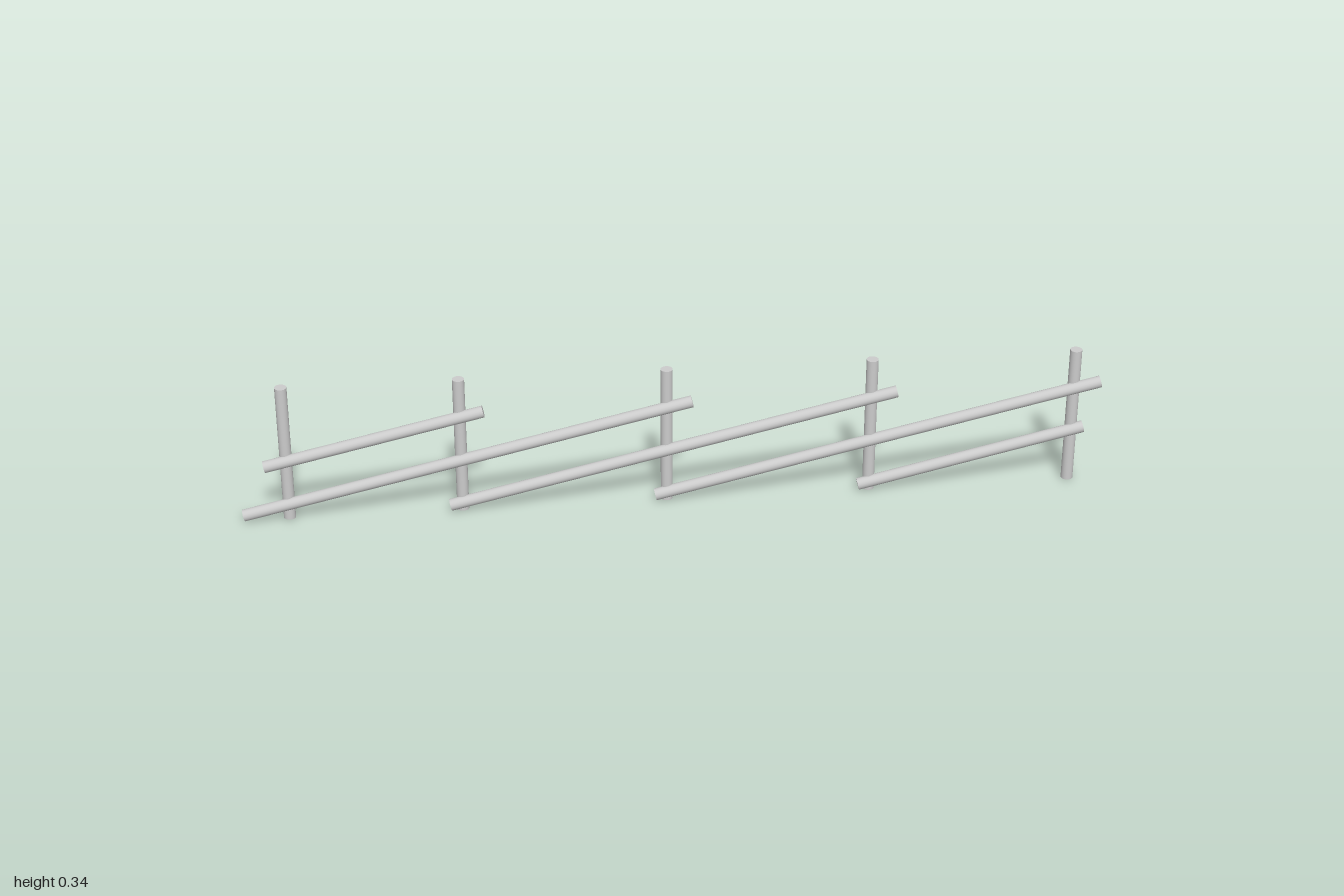
import * as THREE from 'three';

const RADIUS = 0.014;
const material = new THREE.MeshStandardMaterial({ color: 0xcccccc });

// Round pole between two points
function pole(name, from, to) {
  const axis = to.clone().sub(from);
  const mesh = new THREE.Mesh(new THREE.CylinderGeometry(RADIUS, RADIUS, axis.length(), 20), material);
  mesh.name = name;
  mesh.position.copy(from).add(to).multiplyScalar(0.5);
  mesh.quaternion.setFromUnitVectors(new THREE.Vector3(0, 1, 0), axis.normalize());
  return mesh;
}

export function createModel() {
  const fence = new THREE.Group();
  fence.name = 'railFence';

  // Upright posts, behind the rails
  [-0.892, -0.491, -0.015, 0.461, 0.937].forEach((x, i) => {
    fence.add(pole('post' + (i + 1),
      new THREE.Vector3(x, 0, -0.006), new THREE.Vector3(x, 0.342, -0.006)));
  });

  // Sloping rails: x and y of the low end, then of the high end
  const rails = [
    ['shortRailRight', -0.942, 0.143, -0.437, 0.261],
    ['longRail1', -0.997, 0.0165, 0.043, 0.261],
    ['longRail2', -0.52, 0.0165, 0.519, 0.261],
    ['longRail3', -0.043, 0.0165, 0.997, 0.261],
    ['shortRailLeft', 0.434, 0.0165, 0.963, 0.143],
  ];
  for (const [name, x0, y0, x1, y1] of rails) {
    fence.add(pole(name, new THREE.Vector3(x0, y0, 0.006), new THREE.Vector3(x1, y1, 0.006)));
  }
  return fence;
}
